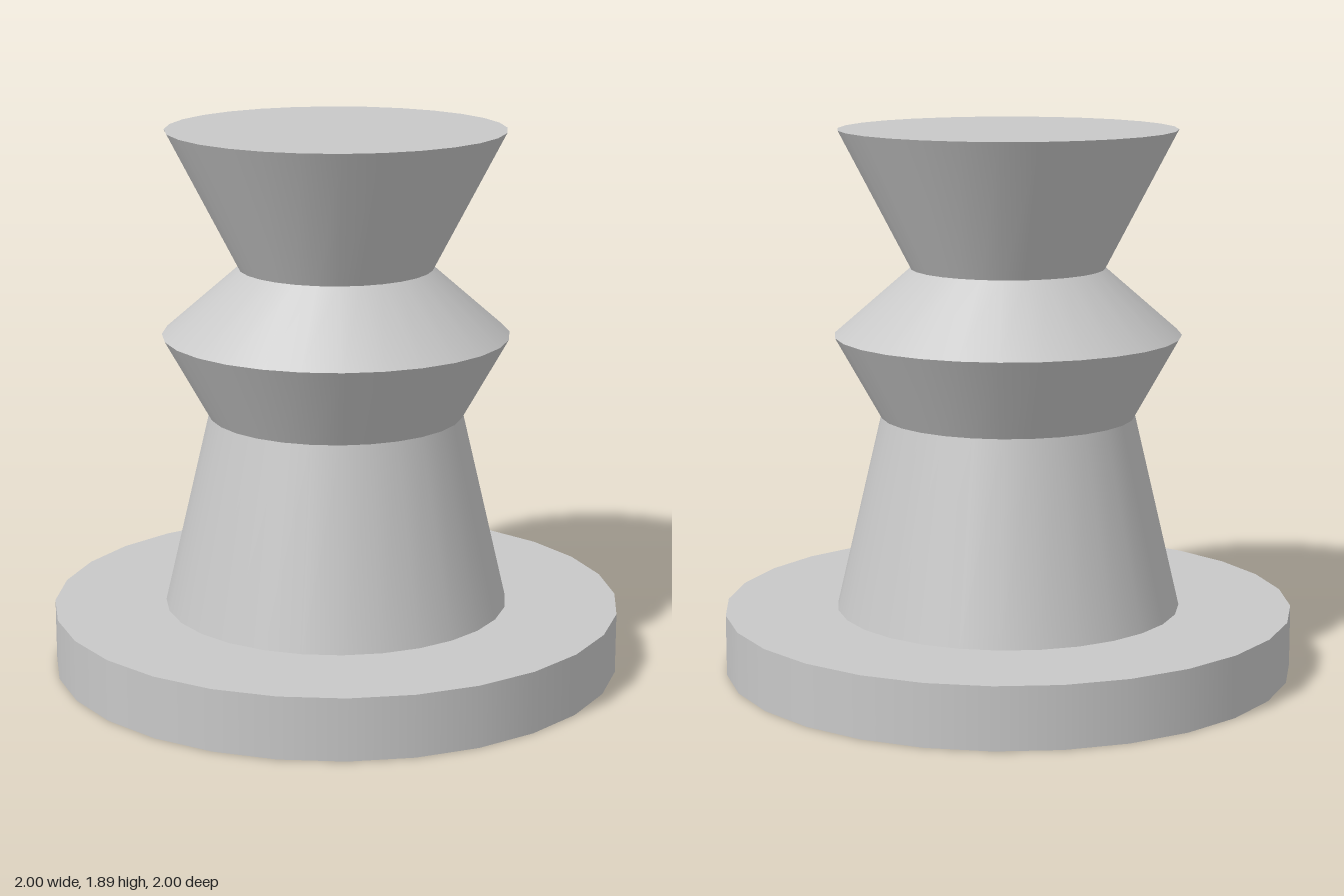
import * as THREE from 'three';

const SIDES = 28;

export function createModel() {
  const group = new THREE.Group();
  group.name = 'turnedPedestal';
  const grey = new THREE.MeshStandardMaterial({ color: 0xc8c8c8 });
  grey.name = 'plain grey';

  // One tapered section between two heights
  function section(name, y0, r0, y1, r1, open = true) {
    const geometry = new THREE.CylinderGeometry(r1, r0, y1 - y0, SIDES, 1, open);
    const mesh = new THREE.Mesh(geometry, grey);
    mesh.name = name;
    mesh.position.y = (y0 + y1) / 2;
    group.add(mesh);
  }

  section('base', 0, 1, 0.215, 1, false);
  section('stem', 0.215, 0.605, 0.897, 0.445);
  section('collarUnderside', 0.897, 0.445, 1.183, 0.605);
  section('collarTop', 1.183, 0.605, 1.415, 0.338);
  section('flaredHead', 1.415, 0.338, 1.895, 0.587);

  // Flat disc closing the head
  const lid = new THREE.Mesh(new THREE.CircleGeometry(0.587, SIDES), grey);
  lid.name = 'headTop';
  lid.rotation.x = -Math.PI / 2;
  lid.position.y = 1.895;
  group.add(lid);

  return group;
}
